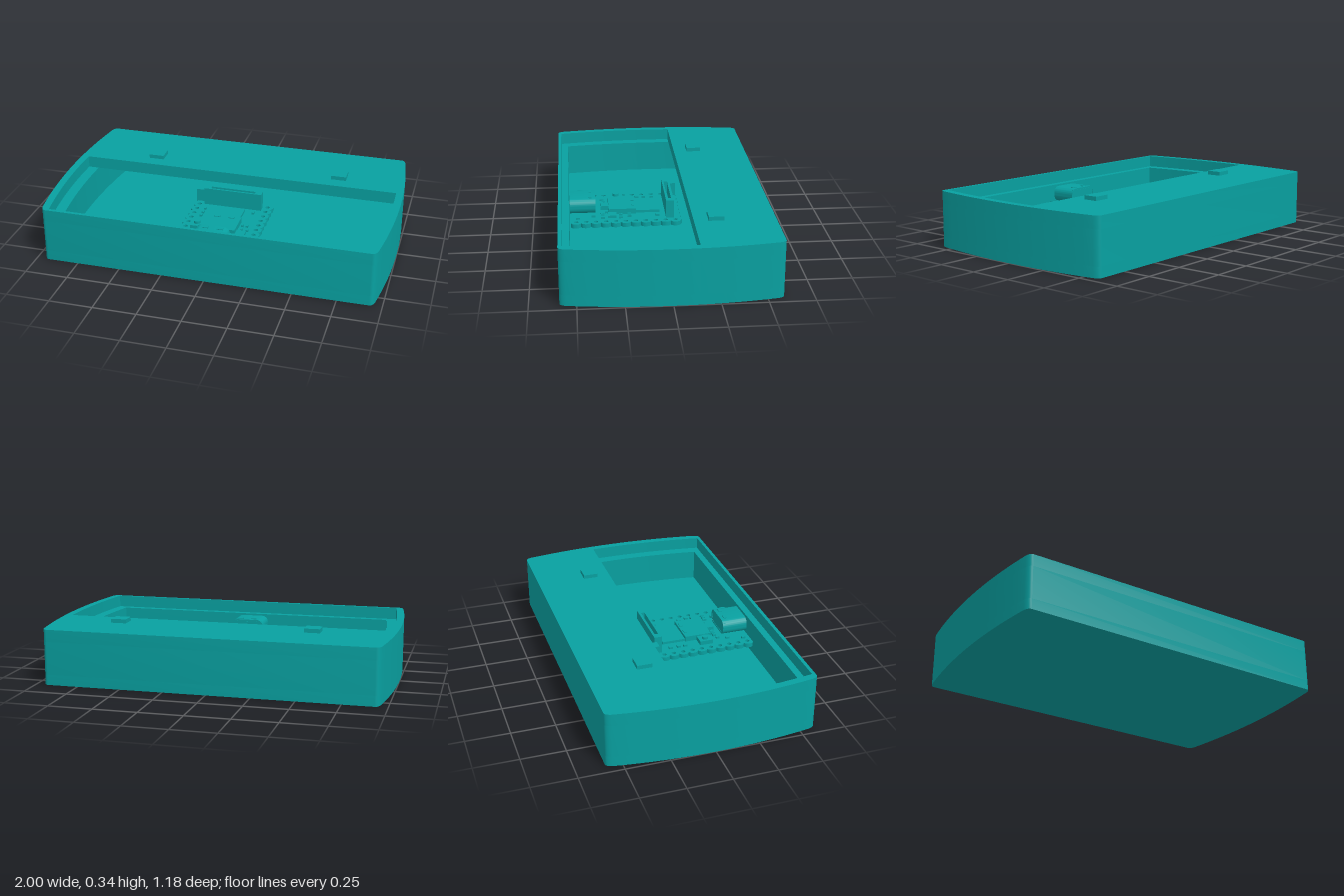
import * as THREE from 'three';
import { toCreasedNormals } from 'three/addons/utils/BufferGeometryUtils.js';

const V = (x, z) => new THREE.Vector2(x, -z); // plan point: shape y is -z

// half width of the bulging case at depth z
const halfWidth = (z) => 1 - 0.045 * (z / 0.56) ** 2;

// plan outline following the bulging sides, moved inward by inset
function outline(inset, zBack, zFront, corner = 0) {
  const side = [];
  const a = zBack + corner, b = zFront - corner, n = 16;
  const round = (z0, z1) => {
    const w = halfWidth(z0) - inset;
    return new THREE.QuadraticBezierCurve(V(w, z0), V(w - 0.009, z1), V(w - 0.028, z1)).getPoints(5);
  };
  if (corner) side.push(...round(a, zBack).reverse());
  for (let i = 0; i <= n; i++) {
    if (corner && (i === 0 || i === n)) continue;
    const z = a + (b - a) * i / n;
    side.push(V(halfWidth(z) - inset, z));
  }
  if (corner) side.push(...round(b, zFront));
  const mirrored = side.map((p) => new THREE.Vector2(-p.x, p.y)).reverse();
  return [...side, ...mirrored];
}

// upright slab from a clockwise plan outline with holes, between two heights
function slab(points, holes, y0, y1) {
  const shape = new THREE.Shape([...points].reverse());
  holes.forEach((h) => shape.holes.push(new THREE.Path(h)));
  const g = new THREE.ExtrudeGeometry(shape, { depth: y1 - y0, bevelEnabled: false });
  g.rotateX(-Math.PI / 2).translate(0, y0, 0);
  return toCreasedNormals(g, 0.5);
}

function circle(x, z, r, n = 12) {
  return Array.from({ length: n }, (_, i) => {
    const t = i / n * Math.PI * 2;
    return V(x + r * Math.cos(t), z + r * Math.sin(t));
  });
}

export function createModel() {
  const model = new THREE.Group();
  const teal = new THREE.MeshStandardMaterial({ color: 0x08a0a0 });
  teal.name = 'teal';

  const add = (parent, name, geometry) => {
    const mesh = new THREE.Mesh(geometry, teal);
    mesh.name = name;
    parent.add(mesh);
    return mesh;
  };
  // box given by its plan extents and heights
  const box = (parent, name, x0, x1, z0, z1, y0, y1) =>
    add(parent, name, new THREE.BoxGeometry(x1 - x0, y1 - y0, z1 - z0)
      .translate((x0 + x1) / 2, (y0 + y1) / 2, (z0 + z1) / 2));

  // Case: floor, hollow walls, and top with the stepped opening
  const body = new THREE.Group();
  body.name = 'case';
  model.add(body);
  const outer = outline(0, -0.59, 0.59, 0.035);
  add(body, 'caseFloor', slab(outer, [], 0, 0.06));
  add(body, 'caseWalls', slab(outer, [outline(0.105, -0.53, 0.53)], 0.06, 0.25));
  add(body, 'caseTop', slab(outer, [outline(0.043, -0.14, 0.57)], 0.25, 0.32));

  // Square pads on the cover
  for (const x of [-0.537, 0.6]) box(body, 'pad', x - 0.045, x + 0.045, -0.305, -0.22, 0.32, 0.343);

  // Circuit board with scalloped edges and rows of holes
  const board = new THREE.Group();
  board.name = 'circuitBoard';
  model.add(board);
  const pitch = 0.0575, zEnd = 0.52, zStart = zEnd - 11 * pitch, top = 0.15;
  const edge = [];
  for (let i = 0; i <= 88; i++) {
    const z = zStart + (zEnd - zStart) * i / 88;
    edge.push(V(0.22 + 0.018 * Math.sqrt(Math.abs(Math.sin(Math.PI * i / 8))), z));
  }
  const backEdge = [];
  for (let i = 1; i < 48; i++) {
    const x = -0.22 + 0.44 * i / 48;
    backEdge.push(V(x, zStart - 0.01 * Math.abs(Math.sin(Math.PI * i / 6))));
  }
  const boardEdge = [...edge, ...edge.map((p) => new THREE.Vector2(-p.x, p.y)).reverse(), ...backEdge];
  const holes = [];
  for (let i = 0; i < 11; i++) {
    const z = zEnd - (i + 0.5) * pitch;
    holes.push(circle(0.203, z, 0.013));
    if (i < 10) holes.push(circle(-0.203, z, 0.013));
  }
  add(board, 'boardPlate', slab(boardEdge, holes, top - 0.025, top));
  box(board, 'cornerPost', -0.232, -0.178, -0.118, -0.065, top - 0.025, 0.227);

  // Upright connector with a slot along its top
  add(board, 'uprightConnector', slab(
    [V(-0.175, -0.078), V(0.175, -0.078), V(0.175, -0.032), V(-0.175, -0.032)],
    [[V(-0.135, -0.064), V(0.135, -0.064), V(0.135, -0.043), V(-0.135, -0.043)]], top + 0.03, 0.255));
  box(board, 'connectorBase', -0.175, 0.175, -0.078, -0.032, top, top + 0.03);

  // Port shell: rounded tube open to the front
  const rounded = (w, h, r) => {
    const s = new THREE.Shape();
    s.absarc(w / 2 - r, h / 2 - r, r, 0, Math.PI / 2);
    s.absarc(-w / 2 + r, h / 2 - r, r, Math.PI / 2, Math.PI);
    s.absarc(-w / 2 + r, -h / 2 + r, r, Math.PI, Math.PI * 1.5);
    s.absarc(w / 2 - r, -h / 2 + r, r, Math.PI * 1.5, Math.PI * 2);
    return s;
  };
  const shell = rounded(0.2, 0.09, 0.038);
  shell.holes.push(new THREE.Path(rounded(0.18, 0.07, 0.03).getPoints(6)));
  const port = new THREE.Group();
  port.name = 'port';
  port.position.set(-0.004, top + 0.045, 0.375);
  board.add(port);
  add(port, 'portShell', toCreasedNormals(new THREE.ExtrudeGeometry(shell,
    { depth: 0.15, bevelEnabled: false, curveSegments: 6 }), 0.6));
  box(port, 'portBack', -0.09, 0.09, 0.002, 0.02, -0.034, 0.034);
  box(port, 'portTongue', -0.065, 0.065, 0.02, 0.13, -0.008, 0.008);

  // Main chips
  box(board, 'flatChip', -0.092, 0.085, 0.0, 0.138, top, top + 0.015);
  box(board, 'mainChip', -0.1, 0.1, 0.138, 0.298, top, top + 0.032);
  box(board, 'chipTab', -0.022, 0.032, 0.298, 0.345, top, top + 0.025);
  box(board, 'sideChip', 0.103, 0.158, 0.255, 0.305, top, top + 0.015);

  // Push button
  box(board, 'buttonBase', -0.168, -0.103, 0.208, 0.288, top, top + 0.025);
  add(board, 'buttonCap', new THREE.CylinderGeometry(0.019, 0.019, 0.015, 16)
    .translate(-0.136, top + 0.032, 0.248));

  // Clips on the chip and the port
  for (const [z, y] of [[0.155, top + 0.032], [0.405, top + 0.09]]) {
    for (const x of [-0.04, 0.045]) box(board, 'clip', x - 0.018, x + 0.018, z - 0.008, z + 0.008, y, y + 0.004);
  }

  // Small surface components: x, z
  const parts = [
    [-0.15, 0.03], [-0.15, 0.08], [-0.15, 0.12], [0.14, 0.015], [0.118, 0.18], [0.145, 0.18],
    [0.125, 0.23], [0.158, 0.23], [-0.085, 0.325], [-0.062, 0.325], [-0.04, 0.325], [-0.118, 0.335],
    [0.075, 0.31], [0.11, 0.335], [0.134, 0.335], [0.158, 0.335], [-0.138, 0.39], [0.132, 0.39],
    [-0.165, 0.48], [0.16, 0.48],
  ];
  for (const [x, z] of parts) box(board, 'component', x - 0.007, x + 0.007, z - 0.011, z + 0.011, top, top + 0.012);

  return model;
}
